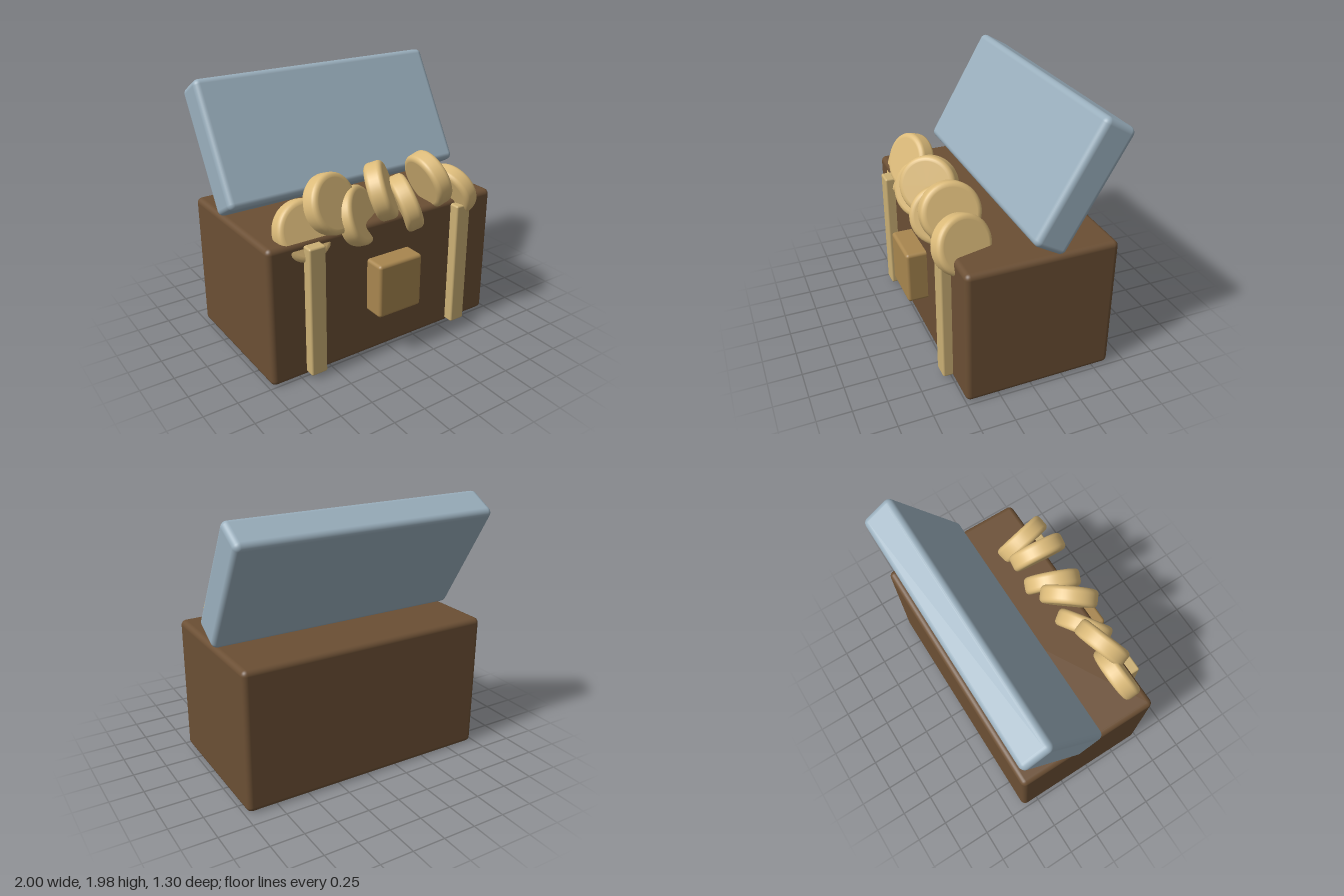
import * as THREE from 'three';
import { RoundedBoxGeometry } from 'three/addons/geometries/RoundedBoxGeometry.js';

const paint = (name, color) => {
  const m = new THREE.MeshStandardMaterial({ color });
  m.name = name;
  return m;
};

// Rounded box given by its lower and upper bounds on each axis
function block(name, [x0, x1], [y0, y1], [z0, z1], radius, material) {
  const geometry = new RoundedBoxGeometry(x1 - x0, y1 - y0, z1 - z0, 4, radius);
  const mesh = new THREE.Mesh(geometry, material);
  mesh.name = name;
  mesh.position.set((x0 + x1) / 2, (y0 + y1) / 2, (z0 + z1) / 2);
  return mesh;
}

// Thick disc with rounded rims, its axis turned to face +z
function coinGeometry(R, thickness, r) {
  const h = thickness / 2;
  const points = [new THREE.Vector2(0, -h), new THREE.Vector2(R - r - 0.005, -h)];
  for (const side of [-1, 1]) {
    for (let i = 0; i <= 4; i++) {
      const a = side < 0 ? -Math.PI / 2 + (i * Math.PI) / 8 : (i * Math.PI) / 8;
      points.push(new THREE.Vector2(R - r + r * Math.cos(a), side * (h - r) + r * Math.sin(a)));
    }
  }
  points.push(new THREE.Vector2(R - r - 0.005, h), new THREE.Vector2(0, h));
  return new THREE.LatheGeometry(points, 48).rotateX(Math.PI / 2);
}

export function createModel() {
  const model = new THREE.Group();
  model.name = 'treasureChest';
  const wood = paint('brown wood', 0x6b4f34);
  const steel = paint('blue grey lid', 0x9aafbd);
  const brass = paint('pale brass', 0xcbb075);
  const gold = paint('gold', 0xdcbb7a);
  const bronze = paint('bronze', 0xa8864f);

  // Chest body
  model.add(block('body', [-0.977, 0.977], [0, 1.05], [-0.63, 0.495], 0.04, wood));

  // Open lid, leaning back
  const lid = block('lid', [-1, 1], [-0.474, 0.474], [-0.132, 0.132], 0.045, steel);
  lid.position.set(0, 1.52, -0.315);
  lid.rotation.x = -Math.PI / 6;
  model.add(lid);

  // Straps and lock plate on the front
  for (const side of [-1, 1]) {
    const x = side * 0.64;
    model.add(block(side > 0 ? 'leftStrap' : 'rightStrap',
      [x - 0.065, x + 0.065], [0.03, 1.02], [0.43, 0.57], 0.015, brass));
  }
  model.add(block('lockPlate', [-0.188, 0.188], [0.36, 0.775], [0.45, 0.65], 0.025, bronze));

  // Row of coins, each turned further round than the last
  const coins = new THREE.Group();
  coins.name = 'coins';
  const geometry = coinGeometry(0.216, 0.135, 0.035);
  for (let i = 0; i < 7; i++) {
    const coin = new THREE.Mesh(geometry, gold);
    coin.name = 'coin' + (i + 1);
    coin.position.set((i - 3) * 0.215, i % 2 ? 1.22 : 1.08, 0.393);
    coin.rotation.set(-0.35, i * 0.3, 0, 'YXZ');
    coins.add(coin);
  }
  model.add(coins);
  return model;
}
